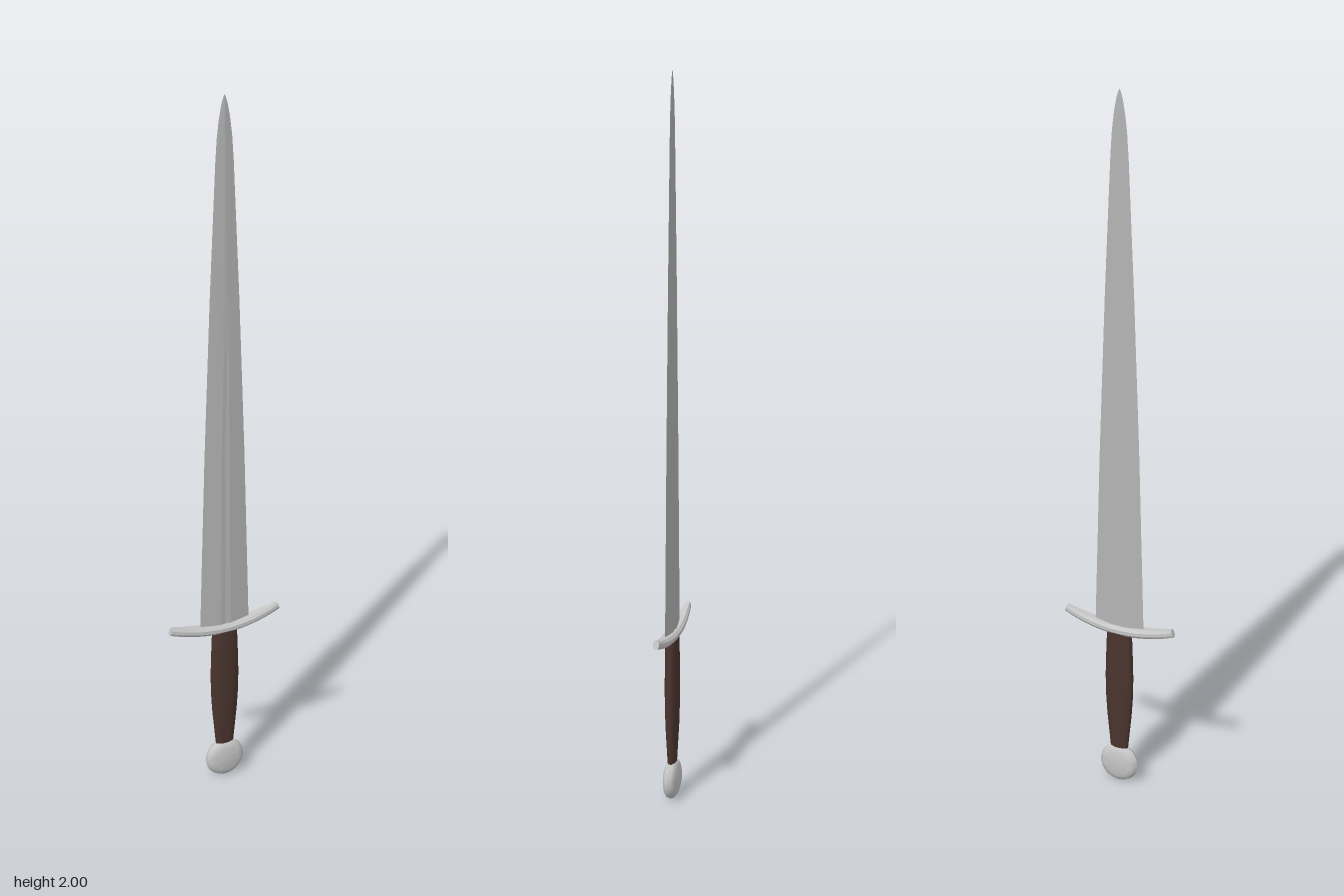
import * as THREE from 'three';
import { toCreasedNormals } from 'three/addons/utils/BufferGeometryUtils.js';

// Skin a list of rings (each an array of [x, y, z]) and cap both ends.
// Rings turn right-handed about the direction of travel.
function loft(rings, crease) {
  const n = rings[0].length;
  const index = [];
  for (let i = 0; i < rings.length - 1; i++) {
    for (let j = 0; j < n; j++) {
      const k = (j + 1) % n;
      const a = i * n + j, b = i * n + k, c = a + n, d = b + n;
      index.push(a, b, d, a, d, c);
    }
  }
  const last = (rings.length - 1) * n;
  for (let j = 1; j < n - 1; j++) {
    index.push(0, j + 1, j, last, last + j, last + j + 1);
  }
  const geometry = new THREE.BufferGeometry();
  geometry.setAttribute('position', new THREE.Float32BufferAttribute(rings.flat(2), 3));
  geometry.setIndex(index);
  return toCreasedNormals(geometry, crease);
}

export function createModel() {
  const sword = new THREE.Group();
  sword.name = 'sword';
  const bladeSteel = new THREE.MeshStandardMaterial({ color: 0xb4b4b4 });
  bladeSteel.name = 'bladeSteel';
  const fittingSteel = new THREE.MeshStandardMaterial({ color: 0xc6c6c6 });
  fittingSteel.name = 'fittingSteel';
  const leather = new THREE.MeshStandardMaterial({ color: 0x4a342d });
  leather.name = 'leather';

  const add = (name, geometry, material) => {
    const mesh = new THREE.Mesh(geometry, material);
    mesh.name = name;
    sword.add(mesh);
    return mesh;
  };

  // Blade: flattened section with a shallow central groove that fades out.
  // Rows: height, half width, half thickness, groove depth
  const bladeRows = [
    [0.475, 0.074, 0.008, 0.002],
    [1.0, 0.059, 0.0065, 0.0015],
    [1.45, 0.0425, 0.0055, 0],
    [1.82, 0.026, 0.004, 0],
    [1.89, 0.0215, 0.0035, 0],
    [1.94, 0.0155, 0.003, 0],
    [1.975, 0.009, 0.002, 0],
    [1.994, 0.0035, 0.001, 0],
    [2.0, 0.0004, 0.0003, 0],
  ];
  const bladeRings = bladeRows.map(([y, w, t, g]) => {
    const f = w * 0.2;
    const s = g > 0 ? t : t * 0.85;
    return [
      [0, y, t - g], [f, y, s], [w, y, 0], [f, y, -s],
      [0, y, g - t], [-f, y, -s], [-w, y, 0], [-f, y, s],
    ];
  });
  add('blade', loft(bladeRings, 0.2), bladeSteel);

  // Crossguard: bevelled bar bowed upwards at both ends
  const guardRings = [];
  for (let i = 0; i <= 16; i++) {
    const u = i / 8 - 1;
    const x = 0.163 * u;
    const y = 0.478 + 0.027 * u * u;
    const h = 0.0125 - 0.002 * u * u;
    const d = 0.0195 - 0.0115 * u * u;
    const section = [
      [h, -0.65], [h, 0.65], [h * 0.4, 1], [-h * 0.4, 1],
      [-h, 0.65], [-h, -0.65], [-h * 0.4, -1], [h * 0.4, -1],
    ];
    // Tilt each section to follow the bow
    const slope = 0.054 * u / 0.163;
    const len = Math.hypot(1, slope);
    guardRings.push(section.map(([v, z]) => [x - v * slope / len, y + v / len, z * d]));
  }
  add('crossguard', loft(guardRings, 0.35), fittingSteel);

  // Grip: oval, swelling in the middle
  const gripRows = [
    [0.1, 0.026, 0.011], [0.15, 0.031, 0.0135], [0.21, 0.037, 0.0165],
    [0.27, 0.041, 0.018], [0.33, 0.042, 0.0185], [0.4, 0.04, 0.018],
    [0.48, 0.037, 0.0165],
  ];
  const gripRings = gripRows.map(([y, w, d]) => {
    const ring = [];
    for (let j = 0; j < 20; j++) {
      const a = j / 20 * Math.PI * 2;
      ring.push([w * Math.sin(a), y, d * Math.cos(a)]);
    }
    return ring;
  });
  add('grip', loft(gripRings, 0.8), leather);

  // Pommel: round disc with bevelled rims, facing front and back
  const profile = [
    [0, -0.0185], [0.036, -0.0175], [0.046, -0.014], [0.054, -0.008], [0.057, 0],
    [0.054, 0.008], [0.046, 0.014], [0.036, 0.0175], [0, 0.0185],
  ].map(([r, h]) => new THREE.Vector2(r, h));
  const disc = new THREE.LatheGeometry(profile, 32);
  disc.rotateX(Math.PI / 2);
  const pommel = add('pommel', toCreasedNormals(disc, 0.6), fittingSteel);
  pommel.position.y = 0.057;

  return sword;
}
